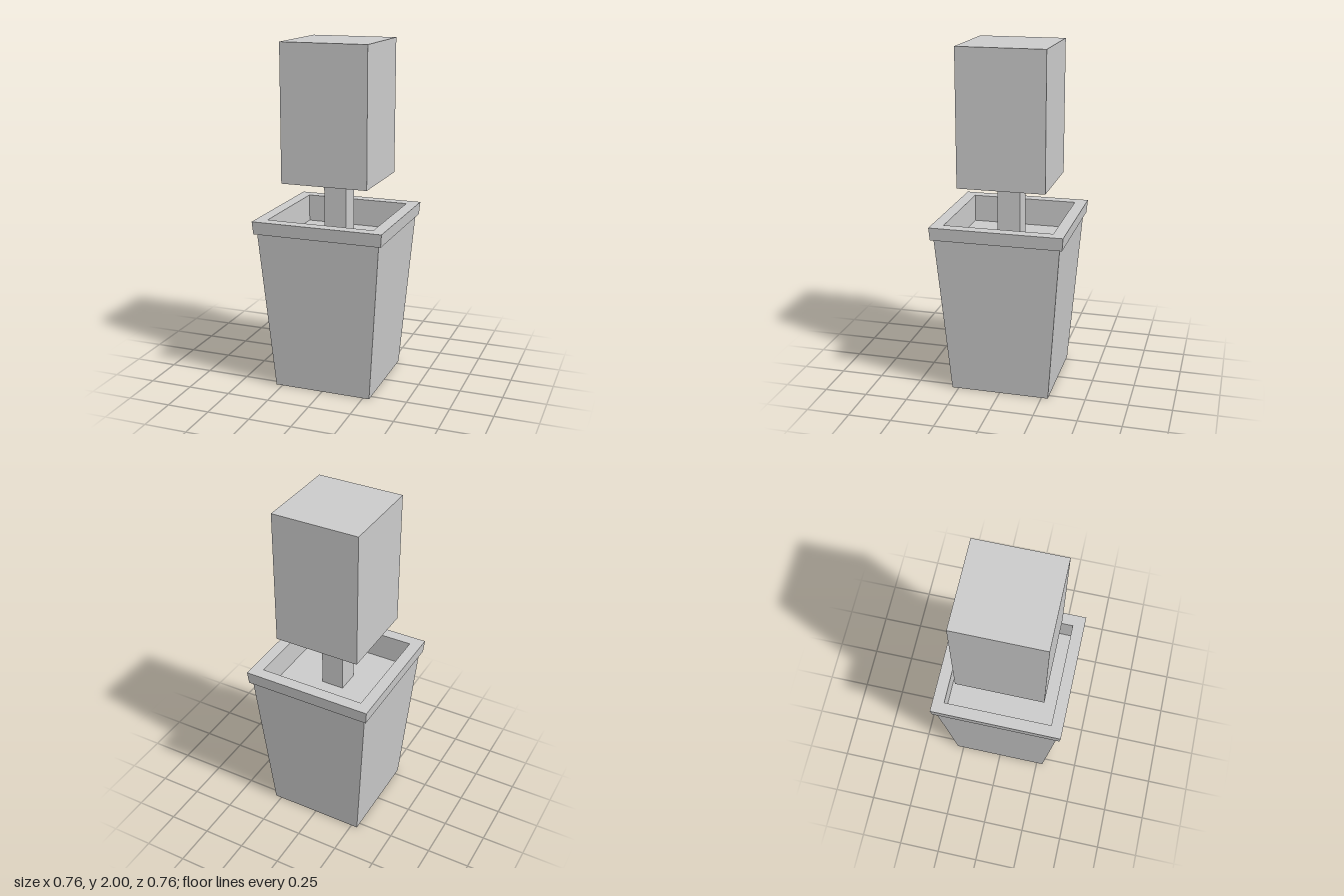
import * as THREE from 'three';

const material = new THREE.MeshStandardMaterial({ color: 0xcccccc, flatShading: true });

function addMesh(group, name, geometry, y = 0) {
  const mesh = new THREE.Mesh(geometry, material);
  mesh.name = name;
  mesh.position.y = y;
  group.add(mesh);
}

// Square-sided turned form; profile is [half width, height] pairs
function squareLathe(profile) {
  const points = profile.map(([half, y]) => new THREE.Vector2(half * Math.SQRT2, y));
  const geometry = new THREE.LatheGeometry(points, 4, Math.PI / 4).toNonIndexed();
  geometry.computeVertexNormals();
  return geometry;
}

// Upright box between two heights
function addBlock(group, name, half, bottom, top) {
  const geometry = new THREE.BoxGeometry(half * 2, top - bottom, half * 2);
  addMesh(group, name, geometry, (bottom + top) / 2);
}

export function createModel() {
  const group = new THREE.Group();
  group.name = 'pottedTree';
  const soilY = 0.85;

  // Tapered pot with overhanging rim and straight inner walls
  addMesh(group, 'pot', squareLathe([
    [0, 0], [0.288, 0], [0.359, 0.938],
    [0.375, 0.938], [0.381, 1.012],
    [0.313, 1.012], [0.313, soilY],
  ]));

  // Soil surface inside the pot
  addMesh(group, 'soil', new THREE.PlaneGeometry(0.626, 0.626).rotateX(-Math.PI / 2), soilY);

  // Trunk and block of foliage
  addBlock(group, 'trunk', 0.067, soilY, 1.213);
  addBlock(group, 'foliage', 0.253, 1.213, 2);

  return group;
}
